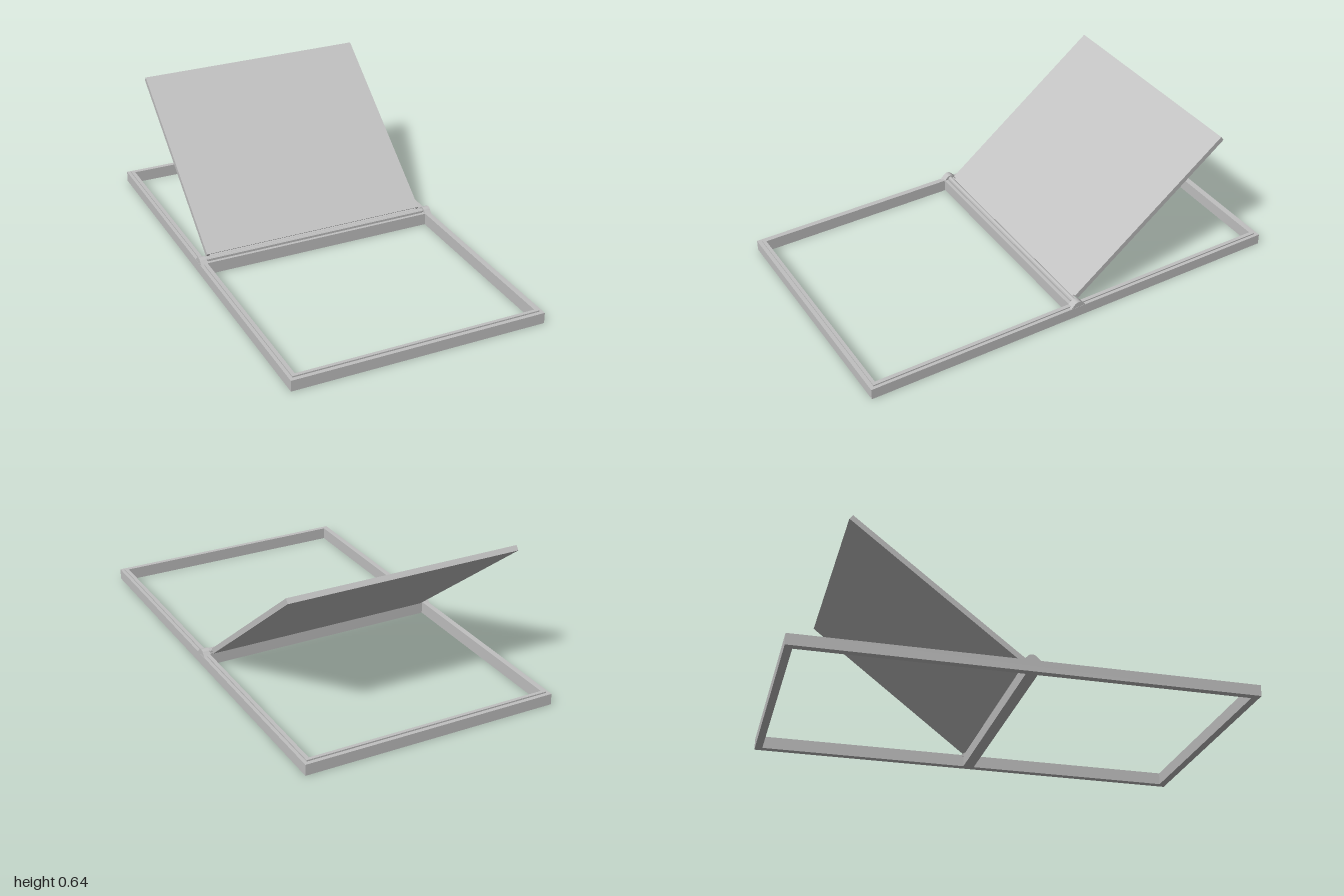
import * as THREE from 'three';

const metal = new THREE.MeshStandardMaterial({ color: 0xc0c0c0 });
metal.name = 'grey metal';

// Rectangular path from two corners
function rect(PathClass, x0, z0, x1, z1) {
  const p = new PathClass();
  p.moveTo(x0, z0);
  p.lineTo(x1, z0);
  p.lineTo(x1, z1);
  p.lineTo(x0, z1);
  p.closePath();
  return p;
}

// Flat slab with rectangular openings, lying on y
function slab(name, outer, holes, y, height) {
  const shape = rect(THREE.Shape, ...outer);
  holes.forEach((h) => shape.holes.push(rect(THREE.Path, ...h)));
  const geo = new THREE.ExtrudeGeometry(shape, { depth: height, bevelEnabled: false });
  geo.rotateX(-Math.PI / 2);
  const mesh = new THREE.Mesh(geo, metal);
  mesh.name = name;
  mesh.position.y = y;
  return mesh;
}

function box(name, w, h, d, x, y, z) {
  const mesh = new THREE.Mesh(new THREE.BoxGeometry(w, h, d), metal);
  mesh.name = name;
  mesh.position.set(x, y, z);
  return mesh;
}

export function createModel() {
  const model = new THREE.Group();
  model.name = 'tiltingPanelFrame';

  // Base frame: two openings either side of a middle crossbar
  const openings = [
    [-0.548, -0.967, 0.548, -0.03],
    [-0.548, 0.02, 0.548, 0.967],
  ];
  model.add(slab('baseFrame', [-0.58, -1, 0.58, 1], openings, 0, 0.05));

  // Low raised lip round the inner edge
  model.add(slab('frameLip', [-0.565, -0.982, 0.565, 0.982], openings, 0.05, 0.006));

  // Stepped hinge rail on the crossbar
  model.add(box('hingeRail', 1.08, 0.012, 0.03, 0, 0.06, 0.0));

  // Rounded hinge caps at both ends
  const capShape = new THREE.Shape();
  capShape.moveTo(-0.036, 0.05);
  capShape.lineTo(0.036, 0.05);
  capShape.lineTo(0.02, 0.066);
  capShape.quadraticCurveTo(0.012, 0.076, 0, 0.076);
  capShape.quadraticCurveTo(-0.012, 0.076, -0.02, 0.066);
  capShape.closePath();
  const capGeo = new THREE.ExtrudeGeometry(capShape, { depth: 0.032, bevelEnabled: false, curveSegments: 6 });
  capGeo.translate(0, 0, -0.016);
  capGeo.rotateY(Math.PI / 2);
  for (const side of [-1, 1]) {
    const cap = new THREE.Mesh(capGeo, metal);
    cap.name = side > 0 ? 'leftHingeCap' : 'rightHingeCap';
    cap.position.x = side * 0.563;
    model.add(cap);
  }

  // Hinge pin joining the caps
  const pin = new THREE.Mesh(new THREE.CylinderGeometry(0.01, 0.01, 1.1, 12), metal);
  pin.name = 'hingePin';
  pin.rotation.z = Math.PI / 2;
  pin.position.y = 0.06;
  model.add(pin);

  // Panel leaning back from the hinge
  const panel = new THREE.Group();
  panel.name = 'tiltedPanel';
  panel.position.y = 0.05;
  panel.rotation.x = THREE.MathUtils.degToRad(37.6);
  panel.add(box('panelBoard', 1.066, 0.024, 0.934, 0, 0, -0.492));
  panel.add(box('panelFoot', 1.04, 0.016, 0.03, 0, 0, -0.012));
  model.add(panel);

  return model;
}
